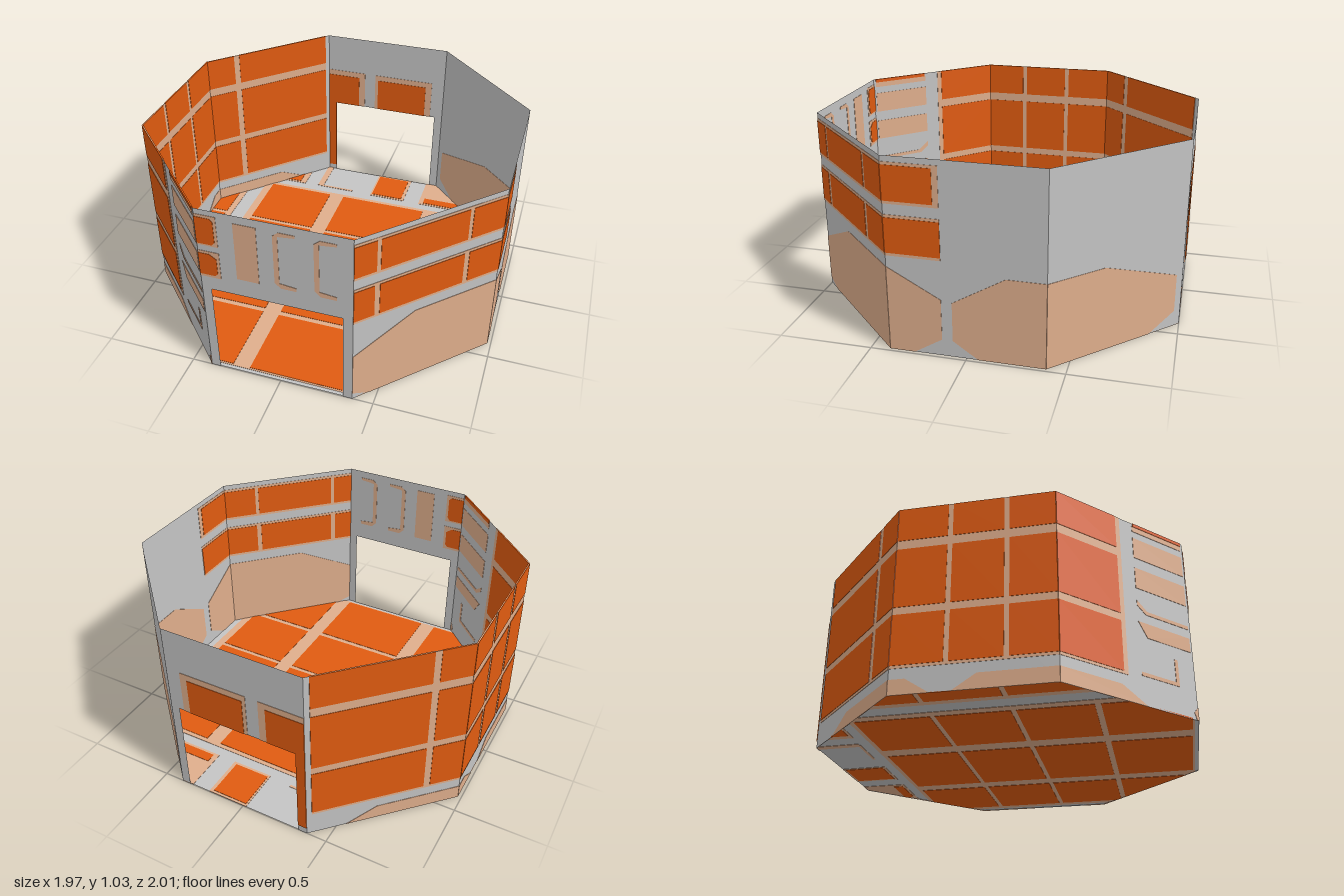
import * as THREE from 'three';
import { mergeGeometries } from 'three/addons/utils/BufferGeometryUtils.js';

const H = 1.03;
const X = 0.98, Z = 1, CX = 0.39, CZ = 0.4; // octagon extents and corner offsets

const rect = (x0, x1, y0, y1) => [[x0, y0], [x1, y0], [x1, y1], [x0, y1]];

// Keeps the part of a convex polygon where a*x + b*y <= c for every plane
function clip(poly, planes) {
  for (const [a, b, c] of planes) {
    const out = [];
    poly.forEach((p, i) => {
      const q = poly[(i + 1) % poly.length];
      const dp = a * p[0] + b * p[1] - c, dq = a * q[0] + b * q[1] - c;
      if (dp <= 0) out.push(p);
      if (dp * dq < 0) {
        const t = dp / (dp - dq);
        out.push([p[0] + (q[0] - p[0]) * t, p[1] + (q[1] - p[1]) * t]);
      }
    });
    poly = out;
  }
  return poly;
}

const shapeOf = (poly) => new THREE.Shape(poly.map(([x, y]) => new THREE.Vector2(x, y)));

// One mesh of thin plates, centred on the panel so that both sides show
function plates(name, polys, material, half) {
  const geos = polys.filter((p) => p.length > 2).map((p) =>
    new THREE.ExtrudeGeometry(shapeOf(p), { depth: 2 * half, bevelEnabled: false }).translate(0, 0, -half));
  if (!geos.length) return null;
  const mesh = new THREE.Mesh(mergeGeometries(geos), material);
  mesh.name = name;
  return mesh;
}

export function createModel() {
  const model = new THREE.Group();
  model.name = 'octagonalRoom';
  const mat = (name, color) => {
    const m = new THREE.MeshStandardMaterial({ color });
    m.name = name;
    return m;
  };
  const plaster = mat('grey plaster', 0xc4c4c4);
  plaster.side = THREE.DoubleSide;
  const tan = mat('tan mortar', 0xdfae8c);
  const orange = mat('orange brick', 0xe05b10);

  function addPanel(name, outline, art) {
    const g = new THREE.Group();
    g.name = name;
    const base = new THREE.Mesh(new THREE.ShapeGeometry(shapeOf(outline)), plaster);
    base.name = name + 'Surface';
    g.add(base);
    for (const m of [
      plates(name + 'Mortar', art.tan, tan, 0.002),
      plates(name + 'Bricks', art.orange, orange, 0.004),
    ]) if (m) g.add(m);
    model.add(g);
    return g;
  }

  // Wall from corner a to b; the art is measured along one axis from s0 to s1
  function addWall(name, a, b, s0, s1, art, door) {
    const len = Math.hypot(b[0] - a[0], b[1] - a[1]);
    const lo = Math.min(s0, s1), hi = Math.max(s0, s1);
    const fit = (polys) => polys.map((p) =>
      clip(p, [[1, 0, hi], [-1, 0, -lo], [0, 1, H]]).map(([s, y]) => [(s - s0) / (s1 - s0) * len, y]));
    const outline = door
      ? [[0, 0], [0.05, 0], [0.05, 0.545], [len - 0.05, 0.545], [len - 0.05, 0], [len, 0], [len, H], [0, H]]
      : rect(0, len, 0, H);
    const g = addPanel(name, outline, { tan: fit(art.tan), orange: fit(art.orange) });
    g.position.set(a[0], 0, a[1]);
    g.rotation.y = Math.atan2(-(b[1] - a[1]), b[0] - a[0]);
  }

  // Left side (+x): two short brick courses above large stones, along z
  const leftArt = {
    tan: [
      rect(0.12, 1, 0.79, 1.0), rect(0.12, 1, 0.52, 0.735),
      [[1, 0.3], [0.75, 0.46], [0.4, 0.46], [0.125, 0.31], [0.125, 0.09], [0.27, 0], [0.93, 0], [1, 0.04]],
      [[0.07, 0.3], [-0.2, 0.46], [-0.64, 0.46], [-0.97, 0.3], [-0.97, 0.09], [-0.85, 0], [-0.06, 0], [0.07, 0.09]],
    ],
    orange: [
      rect(0.915, 1, 0.805, 0.985), rect(0.555, 0.9, 0.805, 0.985), rect(0.15, 0.54, 0.805, 0.985),
      rect(0.92, 1, 0.535, 0.72), rect(0.56, 0.9, 0.535, 0.72), rect(0.12, 0.54, 0.535, 0.72),
    ],
  };

  // Right side (-x): three tall brick courses, with small trim by the front corner
  const rightArt = {
    tan: [
      rect(-0.98, 0.685, 0.135, H),
      [[0.4, 0], [0.766, 0], [0.654, 0.08], [0.4, 0.08]],
      [[-0.85, 0], [-0.2, 0], [-0.32, 0.08], [-0.73, 0.08]],
      [[-0.1, 0], [0.4, 0], [0.4, 0.08], [0.02, 0.08]],
      rect(0.746, 0.99, 0.98, 1.01), rect(0.746, 0.99, 0.82, 0.94), rect(0.746, 0.99, 0.64, 0.76),
      [[0.746, 0.57], [0.746, 0.54], [0.785, 0.5], [0.81, 0.5]],
      rect(0.79, 0.99, 0.5, 0.52),
      [[0.746, 0.45], [0.785, 0.37], [0.99, 0.37], [0.99, 0.45]],
      rect(0.746, 0.92, 0.155, 0.175), rect(0.905, 0.92, 0.16, 0.3),
      [[0.98, 0.04], [0.99, 0], [1, 0], [1, 0.07]],
    ],
    orange: [rect(0.75, 0.99, 1.01, H)],
  };
  for (const [y0, y1] of [[0.15, 0.42], [0.46, 0.79], [0.84, H]])
    for (const [z0, z1] of [[-0.98, -0.55], [-0.525, -0.14], [-0.115, 0.145], [0.17, 0.665]])
      rightArt.orange.push(rect(z0, z1, y0, y1));

  // Doorway walls, measured along x
  const frontArt = {
    tan: [rect(-0.39, -0.28, 0.82, 1.0), rect(-0.39, -0.28, 0.625, 0.785), rect(-0.195, -0.08, 0.65, 0.985)],
    orange: [
      [[-0.39, 0.83], [-0.31, 0.83], [-0.295, 0.85], [-0.295, 0.97], [-0.31, 0.985], [-0.39, 0.985]],
      [[-0.39, 0.64], [-0.31, 0.64], [-0.295, 0.655], [-0.295, 0.745], [-0.33, 0.77], [-0.39, 0.77]],
    ],
  };
  for (const x of [0, 0.2]) // bracket-shaped outlines
    frontArt.tan.push(rect(x, x + 0.025, 0.68, 0.96),
      [[x, 0.68], [x + 0.03, 0.65], [x + 0.11, 0.65], [x + 0.11, 0.67], [x + 0.025, 0.68]],
      [[x, 0.96], [x + 0.025, 0.96], [x + 0.11, 0.97], [x + 0.11, 0.985], [x + 0.03, 0.985]]);
  const backArt = {
    tan: [rect(-0.39, -0.14, 0.545, 0.79), rect(-0.07, 0.31, 0.545, 0.79)],
    orange: [rect(-0.39, -0.18, 0.545, 0.755), rect(-0.05, 0.27, 0.545, 0.755), rect(-0.39, -0.34, 0.04, 0.545)],
  };

  addWall('frontWall', [-CX, Z], [CX, Z], -CX, CX, frontArt, true);
  addWall('backWall', [-CX, -Z], [CX, -Z], -CX, CX, backArt, true);
  for (const [side, s, art] of [['left', 1, leftArt], ['right', -1, rightArt]]) {
    addWall(side + 'FrontWall', [s * CX, Z], [s * X, CZ], Z, CZ, art);
    addWall(side + 'Wall', [s * X, CZ], [s * X, -CZ], CZ, -CZ, art);
    addWall(side + 'BackWall', [s * X, -CZ], [s * CX, -Z], -CZ, -Z, art);
  }

  // Floor: tiles in a grid, trimmed to the octagon
  const floorArt = {
    tan: [
      rect(-0.75, 0.94, -0.695, 0.98), rect(-X, -0.84, -0.6, 0.6),
      rect(-0.8, -0.49, -0.97, -0.75), rect(-0.4, -0.36, -1, -0.76), rect(-0.38, -0.15, -0.77, -0.755),
      rect(-0.02, 0.215, -1, -0.75), rect(0.32, 0.8, -1, -0.75),
    ],
    orange: [
      rect(-0.8, -0.53, -0.95, -0.765), rect(-0.01, 0.195, -0.985, -0.765),
      [[0.35, -0.82], [0.6, -0.82], [0.56, -0.765], [0.35, -0.765]],
    ],
  };
  for (const [x0, x1] of [[-X, -0.88], [-0.7, -0.28], [-0.185, 0.37], [0.46, 0.89]])
    for (const [z0, z1] of [[-0.67, -0.28], [-0.255, 0.12], [0.145, 0.52], [0.55, 0.97]])
      floorArt.orange.push(rect(x0, x1, z0, z1));
  const planes = [];
  for (const i of [-1, 1]) for (const j of [-1, 1])
    planes.push([i * (Z - CZ), j * (X - CX), (Z - CZ) * CX + (X - CX) * Z]);
  planes.push([1, 0, X], [-1, 0, X], [0, 1, Z], [0, -1, Z]);
  const trim = (polys) => polys.map((p) => clip(p, planes));
  const floor = addPanel('floor', clip(rect(-X, X, -Z, Z), planes),
    { tan: trim(floorArt.tan), orange: trim(floorArt.orange) });
  floor.rotation.x = Math.PI / 2;
  floor.position.y = 0.004;

  return model;
}
